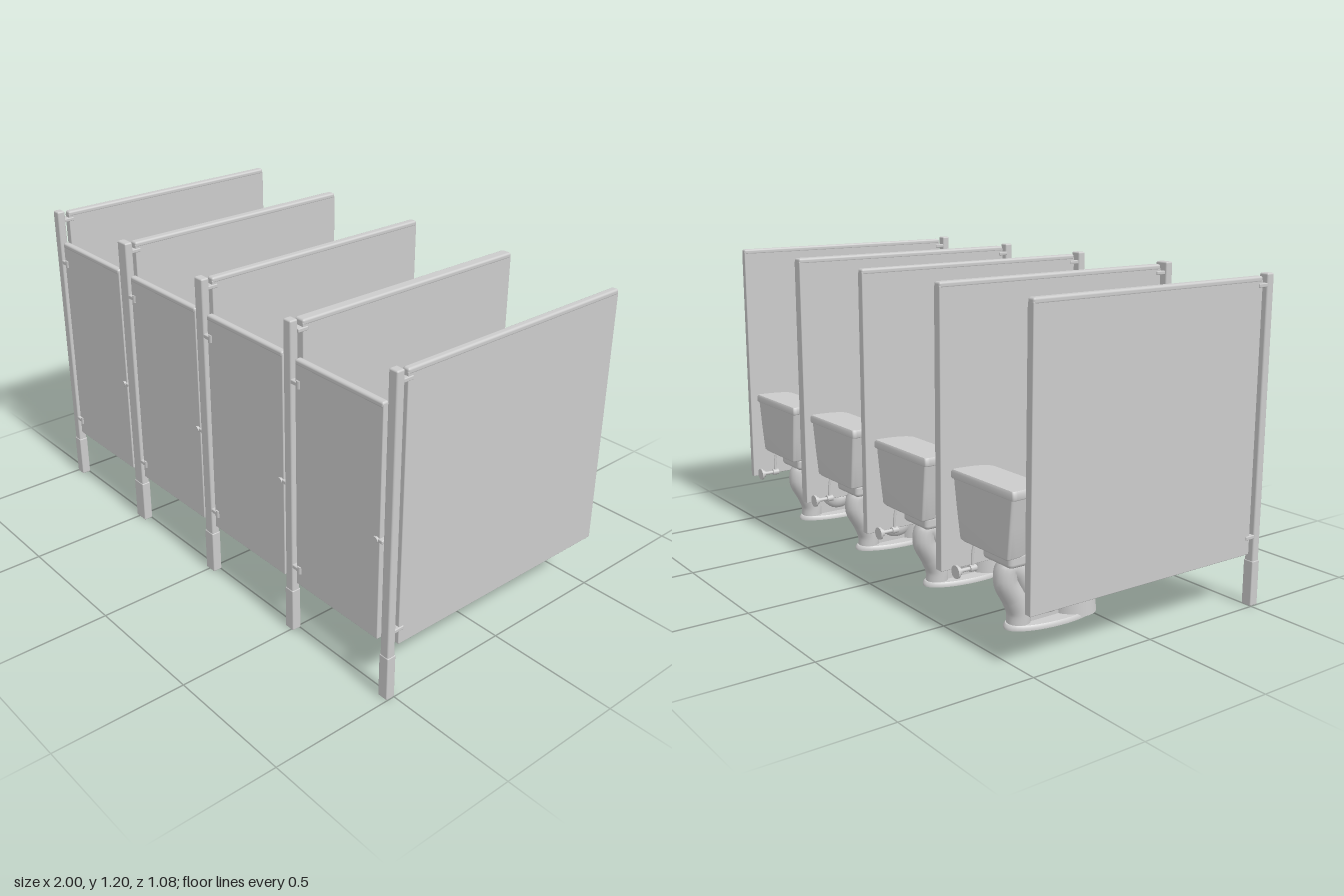
import * as THREE from 'three';
import { RoundedBoxGeometry } from 'three/addons/geometries/RoundedBoxGeometry.js';

const material = new THREE.MeshStandardMaterial({ color: 0xcccccc });

function add(parent, name, geometry, x = 0, y = 0, z = 0) {
  const mesh = new THREE.Mesh(geometry, material);
  mesh.name = name;
  mesh.position.set(x, y, z);
  parent.add(mesh);
  return mesh;
}

// Box given by its limits, with softened edges
function block(parent, name, [x0, x1], [y0, y1], [z0, z1], r = 0.004) {
  return add(parent, name, new RoundedBoxGeometry(x1 - x0, y1 - y0, z1 - z0, 2, r),
    (x0 + x1) / 2, (y0 + y1) / 2, (z0 + z1) / 2);
}

// Skin over closed rings listed bottom to top, with flat end caps
function loft(rings) {
  const n = rings[0].length, pos = [], idx = [];
  rings.forEach(r => r.forEach(p => pos.push(...p)));
  for (let i = 0; i < rings.length - 1; i++) {
    for (let j = 0; j < n; j++) {
      const a = i * n + j, b = i * n + (j + 1) % n;
      idx.push(a, b, a + n, b, b + n, a + n);
    }
  }
  [rings[0], rings[rings.length - 1]].forEach((ring, top) => {
    const base = pos.length / 3;
    ring.forEach(p => pos.push(...p));
    const mid = [0, 1, 2].map(k => ring.reduce((s, p) => s + p[k], 0) / n);
    pos.push(...mid);
    for (let j = 0; j < n; j++) {
      const a = base + j, b = base + (j + 1) % n;
      idx.push(base + n, top ? a : b, top ? b : a);
    }
  });
  const g = new THREE.BufferGeometry();
  g.setAttribute('position', new THREE.Float32BufferAttribute(pos, 3));
  g.setIndex(idx);
  g.computeVertexNormals();
  return g;
}

// Egg-shaped ring: centre z, half width, front length, back length, rear cut-off
function egg([y, zc, w, front, back], cut = -9) {
  return Array.from({ length: 40 }, (_, i) => {
    const t = i / 40 * Math.PI * 2, c = Math.cos(t);
    return [w * Math.sin(t), y, Math.max(cut, zc + c * (c > 0 ? front : back))];
  });
}

// Cistern outline: flat wide back, tapering to a rounded front
function tankRing(y, w, zBack, zFront) {
  const s = new THREE.Shape(), d = zFront - zBack;
  s.moveTo(-w * 0.95, 0);
  s.quadraticCurveTo(-w, 0, -w, d * 0.12);
  s.bezierCurveTo(-w * 0.97, d * 0.7, -w * 0.88, d, -w * 0.66, d);
  s.lineTo(w * 0.66, d);
  s.bezierCurveTo(w * 0.88, d, w * 0.97, d * 0.7, w, d * 0.12);
  s.quadraticCurveTo(w, 0, w * 0.95, 0);
  return s.getPoints(8).reverse().map(p => [p.x, y, zBack + p.y])
    .reverse();
}

function tube(points, radius, segments = 40) {
  const path = new THREE.CatmullRomCurve3(points.map(p => new THREE.Vector3(...p)));
  return new THREE.TubeGeometry(path, segments, radius, 16);
}

function createToilet() {
  const g = new THREE.Group();
  g.name = 'toilet';

  // Foot, pedestal and bowl
  add(g, 'foot', loft([[0.045, -0.2, 0.08, 0.17, 0.21], [0.055, -0.2, 0.08, 0.17, 0.21],
    [0.062, -0.2, 0.074, 0.165, 0.203]].map(r => egg(r))));
  add(g, 'bowl', loft([
    [0.05, -0.115, 0.079, 0.083, 0.09], [0.13, -0.12, 0.072, 0.08, 0.085],
    [0.2, -0.125, 0.067, 0.08, 0.09], [0.23, -0.13, 0.075, 0.09, 0.105],
    [0.26, -0.14, 0.094, 0.115, 0.13], [0.29, -0.152, 0.11, 0.14, 0.15],
    [0.315, -0.16, 0.116, 0.156, 0.16], [0.335, -0.16, 0.116, 0.158, 0.16],
  ].map(r => egg(r))));

  // Rear trapway: rises behind the bowl, then drops to the foot
  add(g, 'trapway', tube([[0, 0.22, -0.14], [0, 0.12, -0.19], [0, 0.11, -0.25], [0, 0.17, -0.31],
    [0, 0.245, -0.365], [0, 0.265, -0.4], [0, 0.22, -0.41], [0, 0.15, -0.375],
    [0, 0.1, -0.355], [0, 0.05, -0.355]], 0.042, 60));
  const web = new THREE.Shape([[-0.15, 0.05], [-0.37, 0.05], [-0.36, 0.11], [-0.41, 0.2],
    [-0.41, 0.28], [-0.15, 0.28]].map(p => new THREE.Vector2(-p[0], p[1])));
  const webGeo = new THREE.ExtrudeGeometry(web, { depth: 0.05, bevelEnabled: false });
  webGeo.translate(0, 0, -0.025).rotateY(Math.PI / 2);
  add(g, 'trapwayWeb', webGeo);

  // Shelf that carries the cistern
  block(g, 'shelf', [-0.078, 0.078], [0.285, 0.335], [-0.45, -0.26], 0.015);
  add(g, 'tankCoupling', new THREE.CylinderGeometry(0.04, 0.04, 0.03, 20), 0, 0.335, -0.42);

  // Seat, closed lid and hinges
  add(g, 'seat', loft([[0.335, -0.165, 0.118, 0.17, 0.165], [0.339, -0.165, 0.123, 0.175, 0.165],
    [0.347, -0.165, 0.123, 0.175, 0.165], [0.351, -0.165, 0.118, 0.17, 0.165]].map(r => egg(r, -0.315))));
  add(g, 'lid', loft([[0.352, -0.165, 0.115, 0.165, 0.16], [0.356, -0.165, 0.12, 0.17, 0.16],
    [0.364, -0.165, 0.119, 0.169, 0.16], [0.37, -0.165, 0.108, 0.155, 0.152]].map(r => egg(r, -0.315))));
  for (const s of [-1, 1]) {
    block(g, 'seatHinge', [s * 0.05 - 0.014, s * 0.05 + 0.014], [0.333, 0.36], [-0.345, -0.308], 0.005);
  }

  // Cistern and its lid
  add(g, 'tank', loft([tankRing(0.34, 0.12, -0.495, -0.395), tankRing(0.348, 0.132, -0.502, -0.386),
    tankRing(0.45, 0.148, -0.505, -0.38), tankRing(0.552, 0.162, -0.507, -0.374)]));
  add(g, 'tankLid', loft([tankRing(0.55, 0.168, -0.51, -0.369), tankRing(0.554, 0.172, -0.512, -0.366),
    tankRing(0.572, 0.172, -0.512, -0.366), tankRing(0.58, 0.165, -0.508, -0.372)]));

  // Water supply: wall plate, stub, valve and riser
  const round = (name, r, len, z) =>
    add(g, name, new THREE.CylinderGeometry(r, r, len, 20), 0.103, 0.245, z).rotation.x = Math.PI / 2;
  round('wallPlate', 0.023, 0.008, -0.536);
  round('wallPlateBoss', 0.014, 0.012, -0.527);
  round('supplyStub', 0.007, 0.07, -0.5);
  round('valveBody', 0.012, 0.025, -0.47);
  add(g, 'supplyRiser', tube([[0.103, 0.245, -0.47], [0.103, 0.29, -0.47], [0.1, 0.35, -0.46]], 0.005, 12));
  return g;
}

export function createModel() {
  const model = new THREE.Group();
  model.name = 'restroomStalls';

  // Posts [x, width] with floor shoes, and dividing panels behind them
  const posts = [[-0.978, 0.042, 0.03], [-0.486, 0.06, 0.034], [0.006, 0.05, 0.03],
    [0.491, 0.042, 0.042], [0.978, 0.042, 0.026]];
  for (const [x, w, t] of posts) {
    const h = w / 2;
    block(model, 'post', [x - h + 0.002, x + h - 0.002], [0.005, 1.2], [0.499, 0.531], 0.006);
    block(model, 'postShoe', [x - h, x + h], [0, 0.17], [0.497, 0.533], 0.004);
    block(model, 'dividerPanel', [x - t / 2, x + t / 2], [0.2, 1.18], [-0.51, 0.48], 0.003);
    block(model, 'dividerCap', [x - t / 2 - 0.001, x + t / 2 + 0.001], [1.17, 1.192], [-0.51, 0.48], 0.008);
    for (const y of [0.262, 1.16]) {
      block(model, 'panelBracket', [x - t / 2 - 0.004, x + t / 2 + 0.004], [y - 0.007, y + 0.007], [0.46, 0.502], 0.003);
    }
  }

  // Doors with hinges on one edge and a latch on the other
  const doors = [[-0.945, -0.53], [-0.445, -0.028], [0.045, 0.461], [0.526, 0.938]];
  for (const [x0, x1] of doors) {
    const door = new THREE.Group();
    door.name = 'door';
    model.add(door);
    block(door, 'doorPanel', [x0, x1], [0.212, 1.07], [0.504, 0.526], 0.003);
    block(door, 'doorCap', [x0, x1], [1.055, 1.077], [0.502, 0.528], 0.008);
    for (const y of [0.275, 0.99]) {
      block(door, 'hingePlate', [x0 - 0.02, x0 + 0.022], [y - 0.008, y + 0.008], [0.499, 0.531], 0.004);
      add(door, 'hingeBarrel', new THREE.CylinderGeometry(0.011, 0.011, 0.028, 16), x0 + 0.016, y, 0.521);
    }
    block(door, 'latch', [x1 - 0.026, x1 + 0.016], [0.588, 0.602], [0.497, 0.531], 0.004);
    add(door, 'latchKnob', new THREE.CylinderGeometry(0.01, 0.01, 0.05, 16), x1 - 0.012, 0.595, 0.51)
      .rotation.x = Math.PI / 2;
  }

  // One toilet per stall
  for (const x of [-0.733, -0.242, 0.25, 0.731]) {
    const toilet = createToilet();
    toilet.position.x = x;
    model.add(toilet);
  }
  return model;
}
